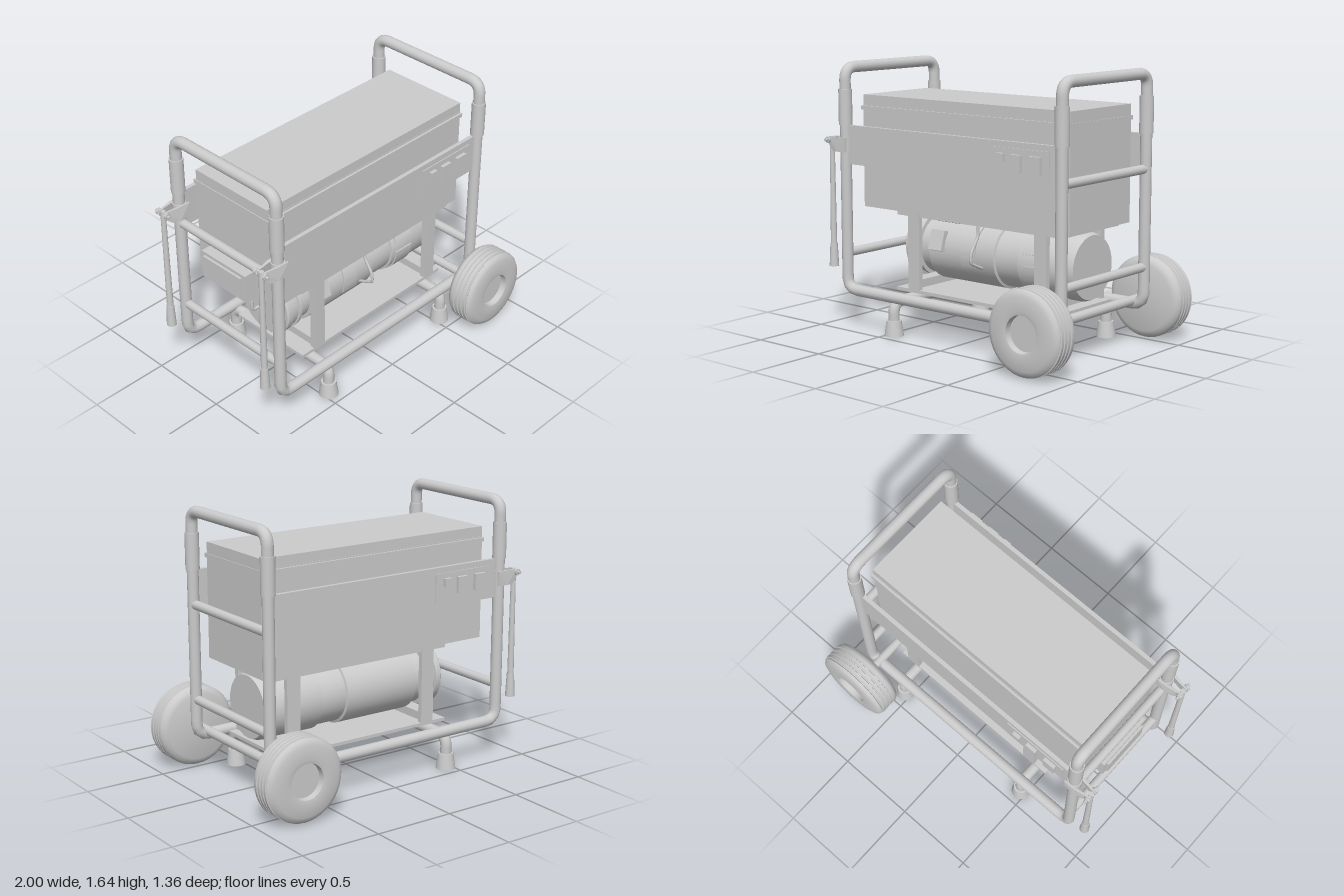
import * as THREE from 'three';
import { toCreasedNormals } from 'three/addons/utils/BufferGeometryUtils.js';

const V = (x, y, z) => new THREE.Vector3(x, y, z);

export function createModel() {
  const model = new THREE.Group();
  const grey = new THREE.MeshStandardMaterial({ color: 0xcccccc, side: THREE.DoubleSide });

  function add(name, geometry, x = 0, y = 0, z = 0, parent = model) {
    const mesh = new THREE.Mesh(geometry, grey);
    mesh.name = name;
    mesh.position.set(x, y, z);
    parent.add(mesh);
    return mesh;
  }
  // Box given by its min and max on each axis
  const box = (name, x0, x1, y0, y1, z0, z1, parent) =>
    add(name, new THREE.BoxGeometry(x1 - x0, y1 - y0, z1 - z0),
      (x0 + x1) / 2, (y0 + y1) / 2, (z0 + z1) / 2, parent);
  // Pipe along points, with rounded corners
  function pipe(name, pts, r, bend = 0.07, sides = 14) {
    const path = new THREE.CurvePath();
    let last = pts[0];
    for (let i = 1; i < pts.length - 1; i++) {
      const p = pts[i];
      const a = p.clone().add(pts[i - 1].clone().sub(p).setLength(bend));
      const b = p.clone().add(pts[i + 1].clone().sub(p).setLength(bend));
      path.add(new THREE.LineCurve3(last, a));
      path.add(new THREE.QuadraticBezierCurve3(a, p, b));
      last = b;
    }
    path.add(new THREE.LineCurve3(last, pts[pts.length - 1]));
    return add(name, new THREE.TubeGeometry(path, pts.length > 2 ? 100 : 1, r, sides), 0, 0, 0);
  }
  // Turned profile of [radius, height] pairs with crisp edges
  const turned = (profile, sides = 32, crease = 0.6) => toCreasedNormals(
    new THREE.LatheGeometry(profile.map(([r, h]) => new THREE.Vector2(r, h)), sides), crease);

  const xL = -0.85, xR = 0.81, zF = 0.405;

  // Tubular frame: a U on each side, a handle hoop and cross bars at each end
  for (const s of [1, -1]) {
    pipe('sideFrame', [V(xL, 1.4, s * zF), V(xL, 0.235, s * zF), V(xR, 0.235, s * zF), V(xR, 1.4, s * zF)], 0.035, 0.08);
  }
  for (const x of [xL, xR]) {
    pipe('handleHoop', [V(x, 1.4, -zF), V(x, 1.61, -zF), V(x, 1.61, zF), V(x, 1.4, zF)], 0.035, 0.08);
    for (const y of [1.05, 0.465]) pipe('crossBar', [V(x, y, -0.39), V(x, y, 0.39)], 0.028);
    for (const s of [1, -1]) {
      add('handleSleeve', new THREE.CylinderGeometry(0.042, 0.042, 0.22, 18), x, 1.37, s * zF);
    }
  }

  // Feet: bent cross pipes ending in hollow rubber cups
  const cup = turned([[0, 0.03], [0.048, 0.03], [0.054, 0], [0.06, 0], [0.046, 0.095], [0, 0.095]], 20);
  for (const x of [-0.46, 0.54]) {
    pipe('footPipe', [V(x, 0.05, -zF), V(x, 0.205, -zF), V(x, 0.205, zF), V(x, 0.05, zF)], 0.034, 0.07);
    for (const s of [1, -1]) add('footCup', cup, x, 0, s * zF);
  }

  // Axle and grooved wheels with a recessed hub
  pipe('axle', [V(0.74, 0.255, -0.52), V(0.74, 0.255, 0.52)], 0.029);
  const tread = [];
  for (let i = 0; i < 4; i++) {
    const h = 0.05 + i * 0.03;
    tread.push([0.25, h - 0.012], [0.25, h + 0.006], [0.241, h + 0.009], [0.241, h + 0.015]);
  }
  const wheel = turned([[0, 0], [0.205, 0], [0.232, 0.01], [0.247, 0.03], ...tread,
    [0.247, 0.16], [0.235, 0.175], [0.21, 0.184], [0.13, 0.192], [0.108, 0.188],
    [0.104, 0.15], [0, 0.15]], 40);
  for (const s of [1, -1]) {
    add('wheel', wheel, 0.745, 0.255, s * 0.49).rotation.x = s * Math.PI / 2;
  }

  // Cabinet with lid and rim
  box('cabinet', -0.81, 0.78, 0.745, 1.38, -0.29, 0.29);
  box('lidRim', -0.815, 0.785, 1.347, 1.372, -0.304, 0.304);
  box('lid', -0.81, 0.78, 1.38, 1.44, -0.288, 0.288);
  box('endBox', -0.89, -0.8, 0.8, 0.98, -0.18, 0.18);
  box('endBoxCover', -0.905, -0.88, 0.82, 0.96, -0.155, 0.155);

  // Side panels between the posts, each with a switch plate
  for (const s of [1, -1]) {
    const side = new THREE.Group();
    side.name = 'sidePanel';
    side.position.x = -0.02;
    side.rotation.y = s > 0 ? 0 : Math.PI;
    model.add(side);
    box('panel', -0.81, 0.81, 1.02, 1.26, 0.385, 0.41, side);
    box('switchPlate', 0.335, 0.75, 1.04, 1.225, 0.405, 0.416, side);
    for (const [x, y, w, h] of [[0.415, 1.168, 0.05, 0.05], [0.525, 1.142, 0.072, 0.1], [0.66, 1.142, 0.08, 0.1]]) {
      box('switch', x - w / 2, x + w / 2, y - h / 2, y + h / 2, 0.41, 0.438, side);
    }
  }

  // Support under the cabinet: top plate, four posts, saddles and base plate
  box('mountPlate', -0.545, 0.715, 0.72, 0.745, -0.275, 0.275);
  box('basePlate', -0.55, 0.66, 0.25, 0.27, -0.28, 0.28);
  for (const x of [-0.41, 0.565]) {
    for (const s of [1, -1]) box('mountPost', x - 0.045, x + 0.045, 0.265, 0.745, s * 0.265 - 0.015, s * 0.265 + 0.015);
    box('saddle', x - 0.045, x + 0.045, 0.285, 0.335, -0.255, 0.255);
  }

  // Motor drum, lying along x
  const drum = new THREE.Group();
  drum.name = 'motor';
  drum.position.set(0, 0.51, -0.018);
  model.add(drum);
  add('motorDrum', turned([[0, -0.57], [0.195, -0.57], [0.203, -0.562], [0.203, -0.525], [0.19, -0.523],
    [0.19, -0.475], [0.203, -0.473], [0.203, -0.455], [0.18, -0.453], [0.18, -0.372], [0.203, -0.37],
    [0.203, 0.14], [0.188, 0.145], [0.188, 0.32], [0.203, 0.322], [0.203, 0.68], [0.19, 0.715], [0, 0.715]], 32), 0, 0, 0, drum)
    .rotation.z = -Math.PI / 2;

  // Curved cover plates on the drum's front, angles in degrees above horizontal
  const rad = THREE.MathUtils.degToRad;
  function cover(x0, x1, a0, a1) {
    const shape = new THREE.Shape();
    shape.absarc(0, 0, 0.211, rad(a0), rad(a1), false);
    shape.absarc(0, 0, 0.19, rad(a1), rad(a0), true);
    const g = new THREE.ExtrudeGeometry(shape, { depth: x1 - x0, bevelEnabled: false, curveSegments: 10 });
    g.rotateY(-Math.PI / 2);
    add('coverPlate', toCreasedNormals(g, 0.6), x1, 0, 0, drum);
  }
  cover(-0.11, 0, -19, 65);
  cover(0.355, 0.495, 18, 65);
  cover(0.355, 0.495, -54, -1);
  cover(-0.37, -0.19, 55, 75);
  const plate = new THREE.Group();
  plate.name = 'terminalBox';
  plate.rotation.x = -rad(18);
  drum.add(plate);
  box('terminalCover', -0.35, -0.245, -0.063, 0.063, 0.18, 0.228, plate);

  // Cables from the cabinet to the motor
  pipe('frontCable', [V(0.045, 0.74, 0.21), V(0.045, 0.645, 0.21), V(0.045, 0.55, 0.275), V(0.045, 0.49, 0.28),
    V(0.045, 0.44, 0.16)], 0.009, 0.025, 8);
  pipe('endCable', [V(-0.59, 0.76, -0.02), V(-0.59, 0.65, -0.02), V(-0.67, 0.6, -0.02), V(-0.67, 0.51, -0.02),
    V(-0.55, 0.51, -0.02)], 0.01, 0.03, 8);

  // Folded pull handles hanging from clamps on the left posts
  const outline = [[0.04, 0.045], [-0.03, 0.045], [-0.13, 0.04], [-0.14, 0.015], [-0.11, -0.02], [-0.08, -0.045], [-0.03, -0.045], [0.04, -0.045]];
  for (const s of [1, -1]) {
    const pull = new THREE.Group();
    pull.name = 'pullHandle';
    pull.position.set(xL, 1.14, s * zF);
    model.add(pull);
    for (const t of [1, -1]) {
      const g = new THREE.ExtrudeGeometry(new THREE.Shape(outline.map(([x, y]) => new THREE.Vector2(x, y))),
        { depth: 0.01, bevelEnabled: false });
      const p = g.attributes.position;
      // cheeks converge toward the pivot
      for (let i = 0; i < p.count; i++) {
        const k = THREE.MathUtils.clamp((-0.03 - p.getX(i)) / 0.1, 0, 1);
        p.setZ(i, p.getZ(i) + t * (0.041 - 0.021 * k) - 0.005);
      }
      g.computeVertexNormals();
      add('clampCheek', g, 0, 0, 0, pull);
    }
    add('clampCollar', new THREE.CylinderGeometry(0.041, 0.041, 0.09, 18), 0, 0, 0, pull);
    add('pivotPin', new THREE.CylinderGeometry(0.01, 0.01, 0.12, 10), -0.12, 0.022, 0, pull).rotation.x = Math.PI / 2;
    for (const t of [1, -1]) {
      add('pinHead', new THREE.CylinderGeometry(0.02, 0.02, 0.014, 10), -0.12, 0.022, t * 0.036, pull).rotation.x = Math.PI / 2;
    }
    add('pullRod', new THREE.CylinderGeometry(0.015, 0.02, 0.68, 14), -0.12, -0.3, 0, pull);
    add('pullGrip', new THREE.CylinderGeometry(0.023, 0.03, 0.145, 16), -0.12, -0.7025, 0, pull);
  }

  return model;
}
